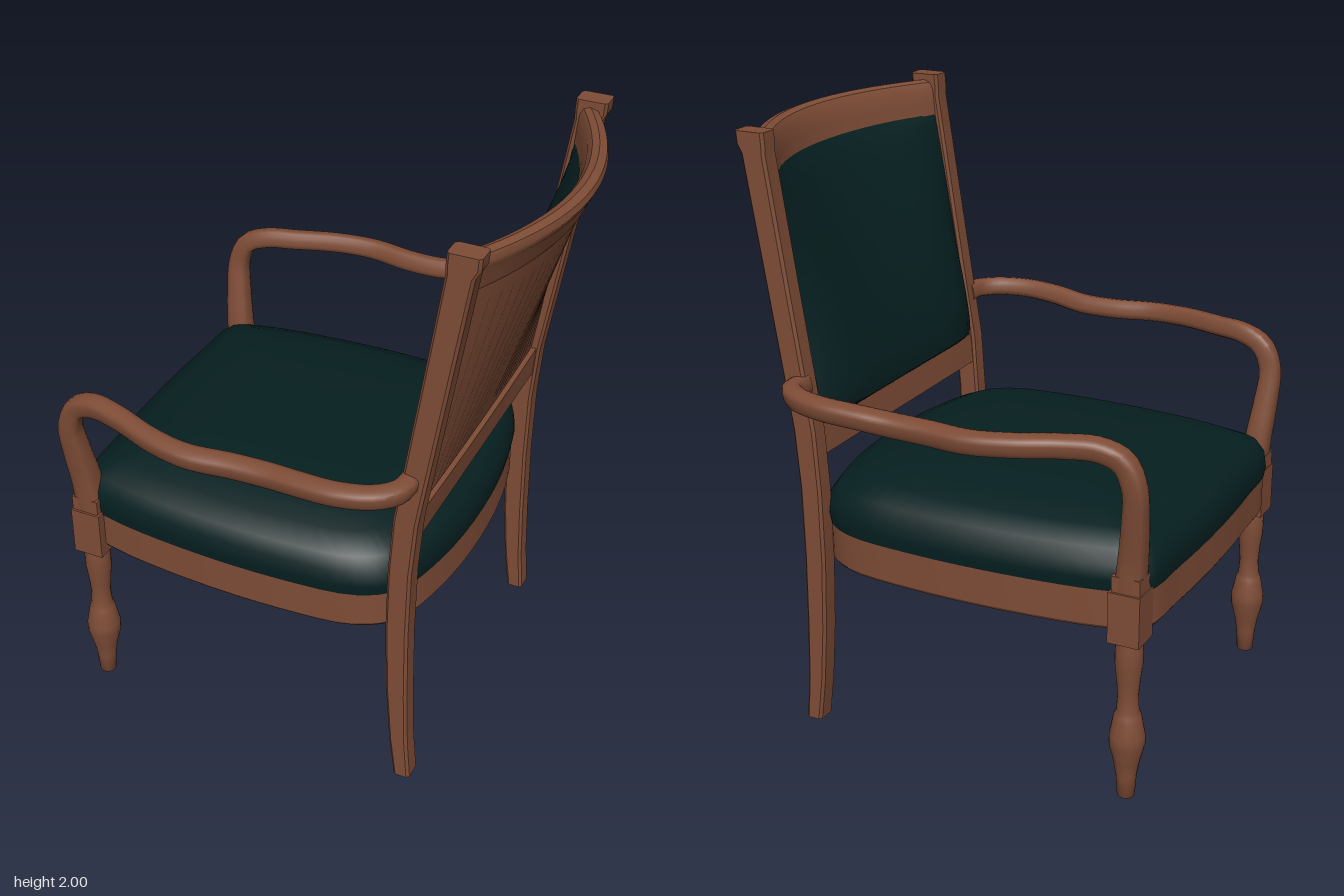
import * as THREE from 'three';
import { toCreasedNormals } from 'three/addons/utils/BufferGeometryUtils.js';

const wood = new THREE.MeshStandardMaterial({ color: 0x7e4c36 });
wood.name = 'walnut wood';
const fabric = new THREE.MeshStandardMaterial({ color: 0x061f20 });
fabric.name = 'dark green upholstery';

const V = (x, y, z) => new THREE.Vector3(x, y, z);

function add(parent, name, geometry, material) {
  const mesh = new THREE.Mesh(geometry, material);
  mesh.name = name;
  parent.add(mesh);
  return mesh;
}

// Closed solid through equal-sized rings of points, capped at both ends
function loft(rings, crease = 0.6) {
  const n = rings[0].length;
  const pts = rings.flat();
  const index = [];
  for (let i = 0; i < rings.length - 1; i++) {
    for (let j = 0; j < n; j++) {
      const a = i * n + j, b = i * n + (j + 1) % n;
      index.push(a, b, a + n, b, b + n, a + n);
    }
  }
  const cap = (start, flip) => {
    const c = V(0, 0, 0);
    for (let j = 0; j < n; j++) c.addScaledVector(pts[start + j], 1 / n);
    const k = pts.push(c) - 1;
    for (let j = 0; j < n; j++) {
      const a = start + j, b = start + (j + 1) % n;
      if (flip) index.push(k, b, a); else index.push(k, a, b);
    }
  };
  cap(0, true);
  cap((rings.length - 1) * n, false);
  // Turn the faces outward when the rings run the other way
  let volume = 0;
  for (let i = 0; i < index.length; i += 3) {
    volume += pts[index[i]].dot(V(0, 0, 0).crossVectors(pts[index[i + 1]], pts[index[i + 2]]));
  }
  if (volume < 0) index.reverse();
  const g = new THREE.BufferGeometry().setFromPoints(pts);
  g.setIndex(index);
  return toCreasedNormals(g, crease);
}

// Back post: height, centre depth, thickness
const POST = [
  [0, 0.5, 0.057], [0.15, 0.485, 0.064], [0.35, 0.475, 0.072], [0.6, 0.47, 0.077],
  [0.85, 0.475, 0.078], [1.05, 0.49, 0.081], [1.5, 0.562, 0.083], [1.93, 0.63, 0.087],
  [1.96, 0.638, 0.104], [2, 0.641, 0.104],
];
function postZ(y) {
  let i = 0;
  while (i < POST.length - 2 && y > POST[i + 1][0]) i++;
  const [y0, z0] = POST[i], [y1, z1] = POST[i + 1];
  return z0 + (z1 - z0) * (y - y0) / (y1 - y0);
}
// The back is straight at the lower rail and curves more towards the crest
const bow = (y) => 0.165 * Math.max(0, y - 1.03);
const backZ = (u, y) => postZ(Math.min(y, 1.93)) + bow(y) * (1 - u * u);

// Bar between the posts, from a profile of [height, depth offset]
function backBar(profile) {
  const rings = [];
  for (let i = 0; i <= 20; i++) {
    const u = i / 10 - 1;
    rings.push(profile.map(([y, d]) => V(u * 0.515, y, backZ(u, y) + d)));
  }
  return loft(rings);
}

// Padded front of the backrest, swelling most in its lower half
function backPad() {
  const rings = [];
  const height = (j) => 1.05 + j / 18 * 0.82;
  for (let i = 0; i <= 20; i++) {
    const u = i / 10 - 1;
    const ring = [];
    for (let j = 0; j <= 18; j++) {
      const y = height(j);
      const rise = Math.max(0, Math.sin(Math.PI * Math.sqrt(j / 18))) ** 0.6;
      ring.push(V(u * 0.508, y, backZ(u, y) - 0.025 - 0.095 * (1 - u ** 6) * rise));
    }
    for (let j = 18; j >= 0; j--) ring.push(V(u * 0.508, height(j), backZ(u, height(j)) + 0.002));
    rings.push(ring);
  }
  return loft(rings, 0.8);
}

// Seat outline, shared by the rails and the cushion
const half = [
  [0.3, 0.515], [0.505, 0.45], [0.582, 0.34], [0.613, 0.09], [0.608, -0.27],
  [0.57, -0.57], [0.525, -0.685], [0.3, -0.712],
];
const outline = new THREE.CatmullRomCurve3([
  V(0, 0, 0.54), ...half.map(([x, z]) => V(x, 0, z)),
  V(0, 0, -0.722), ...half.slice().reverse().map(([x, z]) => V(-x, 0, z)),
], true).getPoints(72).slice(0, -1);
const seatLayers = (layers, crease) => loft(layers.map(([s, y]) =>
  outline.map((p) => V(p.x * s, y, (p.z + 0.1) * s - 0.1))), crease);

// Bar with a rounded square section along points, its half width following a list
function squareTube(points, widths) {
  const curve = new THREE.CatmullRomCurve3(points);
  const steps = 64, sides = 16;
  const { normals, binormals } = curve.computeFrenetFrames(steps);
  const rings = [];
  for (let i = 0; i <= steps; i++) {
    const t = i / steps * (widths.length - 1), k = Math.min(Math.floor(t), widths.length - 2);
    const w = THREE.MathUtils.lerp(widths[k], widths[k + 1], t - k);
    const ring = [];
    for (let j = 0; j < sides; j++) {
      const a = j / sides * Math.PI * 2, c = Math.cos(a), s = Math.sin(a);
      const r = w / (c ** 4 + s ** 4) ** 0.25;
      ring.push(curve.getPointAt(i / steps)
        .addScaledVector(normals[i], c * r).addScaledVector(binormals[i], s * r));
    }
    rings.push(ring);
  }
  return loft(rings, 0.9);
}

export function createModel() {
  const model = new THREE.Group();
  model.name = 'armchair';
  const chair = new THREE.Group();
  chair.name = 'chair';
  chair.rotation.y = 0.262;
  chair.position.set(-0.0145, 0, 0.004);
  model.add(chair);

  // Seat: rails around a deeply recessed underside, and a domed cushion
  add(chair, 'seatRails', seatLayers([
    [0.92, 0.7], [0.92, 0.605], [0.93, 0.595], [0.978, 0.593], [0.988, 0.603], [0.988, 0.73],
  ], 0.5), wood);
  add(chair, 'seatCushion', seatLayers([
    [0.99, 0.722], [1, 0.76], [0.99, 0.808], [0.945, 0.85], [0.83, 0.887],
    [0.65, 0.912], [0.4, 0.927], [0.15, 0.932],
  ], 1.2), fabric);

  // Backrest: crest rail, lower rail, rear panel and padded front
  add(chair, 'crestRail', backBar([
    [1.85, -0.03], [1.9, -0.034], [1.95, -0.034], [1.972, -0.022], [1.98, 0],
    [1.972, 0.026], [1.95, 0.034], [1.93, 0.028], [1.915, 0.02], [1.865, 0.02], [1.85, 0.014],
  ]), wood);
  add(chair, 'lowerBackRail', backBar([
    [0.955, -0.03], [1.06, -0.03], [1.06, 0.028], [0.955, 0.028],
  ]), wood);
  add(chair, 'rearPanel', backBar([[1.05, 0], [1.86, 0], [1.86, 0.01], [1.05, 0.01]]), wood);
  add(chair, 'backPad', backPad(), fabric);

  // Turned front leg profile
  const legProfile = [
    [0, 0.015], [0.028, 0.015], [0.033, 0.09], [0.042, 0.14], [0.057, 0.2], [0.057, 0.235],
    [0.047, 0.285], [0.043, 0.305], [0.036, 0.32], [0.033, 0.37], [0.037, 0.42],
    [0.044, 0.48], [0.044, 0.53], [0.04, 0.57],
  ].map(([r, y]) => new THREE.Vector2(r, y));
  const legGeometry = new THREE.LatheGeometry(legProfile, 20);

  for (const [side, s] of [['left', 1], ['right', -1]]) {
    // Chamfered square back post running from floor to crest
    const c = 0.009, x0 = 0.5, x1 = 0.572;
    add(chair, side + 'BackPost', loft(POST.map(([y, z, d]) => {
      const z0 = z - d / 2, z1 = z + d / 2;
      return [
        [x0 + c, z0], [x1 - c, z0], [x1, z0 + c], [x1, z1 - c],
        [x1 - c, z1], [x0 + c, z1], [x0, z1 - c], [x0, z0 + c],
      ].map(([x, depth]) => V(s * x, y, depth));
    })), wood);

    // Front leg with its square block and cap
    add(chair, side + 'FrontLeg', legGeometry, wood).position.set(s * 0.537, 0, -0.64);
    add(chair, side + 'LegBlock', new THREE.BoxGeometry(0.105, 0.17, 0.105), wood)
      .position.set(s * 0.537, 0.648, -0.64);
    add(chair, side + 'BlockCap', new THREE.BoxGeometry(0.09, 0.06, 0.094), wood)
      .position.set(s * 0.537, 0.755, -0.642);

    // Arm support rising from the block and sweeping back in a double curve
    const arm = [
      [0.537, 0.74, -0.64], [0.545, 0.85, -0.65], [0.565, 0.97, -0.662], [0.583, 1.08, -0.665],
      [0.588, 1.158, -0.632], [0.598, 1.19, -0.56], [0.626, 1.193, -0.455], [0.678, 1.188, -0.31],
      [0.7, 1.182, -0.177], [0.682, 1.178, -0.03], [0.68, 1.18, 0.095], [0.697, 1.192, 0.203],
      [0.703, 1.2, 0.329], [0.672, 1.202, 0.436], [0.618, 1.202, 0.49], [0.545, 1.202, 0.5],
    ].map(([x, y, z]) => V(s * x, y, z));
    add(chair, side + 'Arm',
      squareTube(arm, [0.046, 0.041, 0.035, 0.034, 0.033, 0.033, 0.034, 0.034, 0.033, 0.032, 0.032]), wood);
  }
  return model;
}
